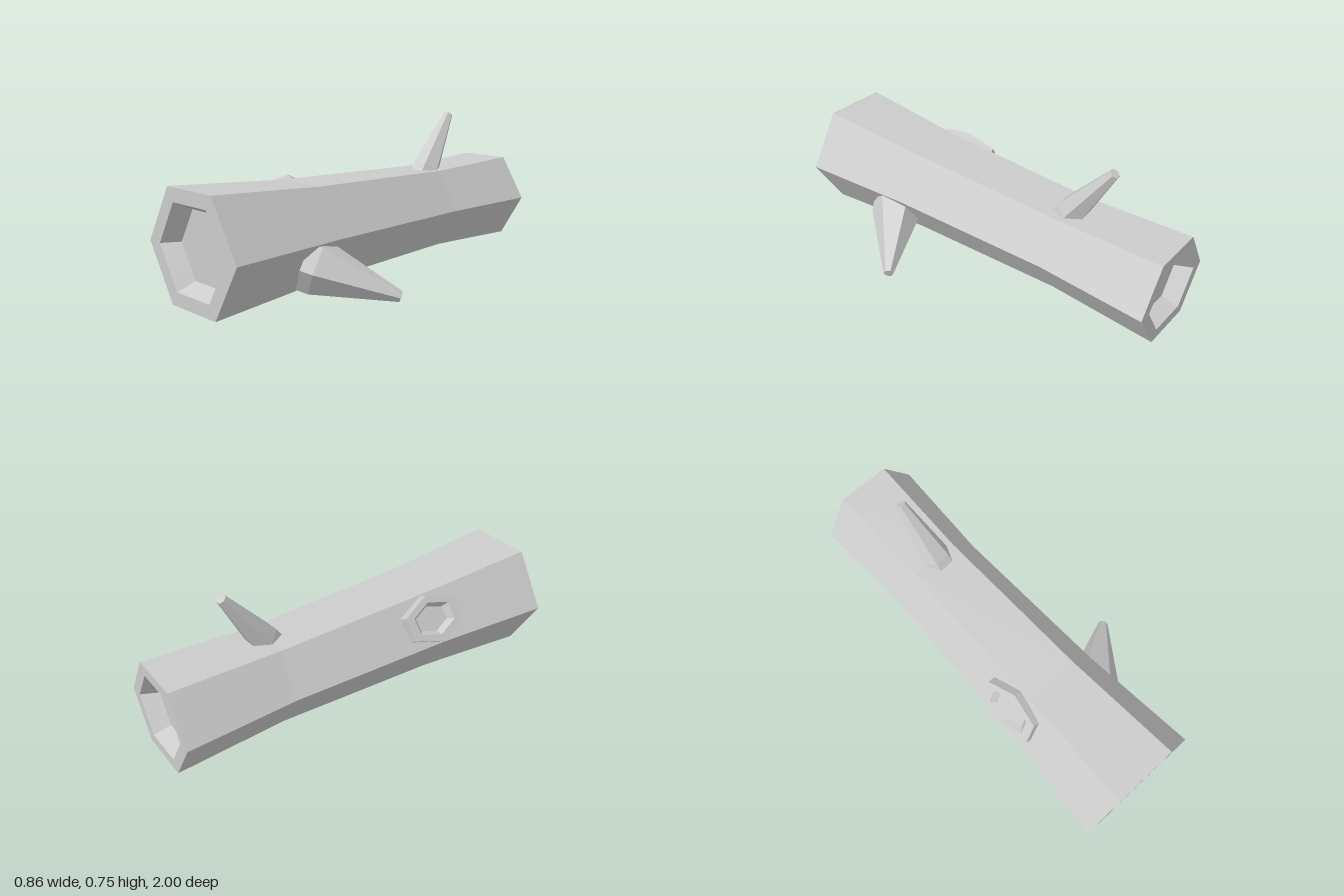
import * as THREE from 'three';

const material = new THREE.MeshStandardMaterial({ color: 0xcccccc, flatShading: true });

// Six-sided solid of revolution about y, with corners on the x axis; profile runs bottom to top
function hexLathe(profile) {
  const points = profile.map(([r, y]) => new THREE.Vector2(r, y));
  return new THREE.LatheGeometry(points, 6, Math.PI / 2, Math.PI * 2).toNonIndexed();
}

function addMesh(group, name, geometry) {
  geometry.computeVertexNormals();
  const mesh = new THREE.Mesh(geometry, material);
  mesh.name = name;
  group.add(mesh);
  return mesh;
}

// Tapered hexagonal stub from a point on the bark to its tip, sunk a little into the log
function addBranch(group, name, base, tip, baseRadius, tipRadius, sink) {
  const start = new THREE.Vector3(...base);
  const axis = new THREE.Vector3(...tip).sub(start);
  const length = axis.length();
  axis.normalize();
  const mesh = addMesh(group, name, hexLathe([
    [0, -sink], [baseRadius, -sink], [baseRadius, 0], [tipRadius, length], [0, length],
  ]));
  // Keep one pair of corners level
  const side = new THREE.Vector3(-axis.z, 0, axis.x).normalize();
  const third = new THREE.Vector3().crossVectors(side, axis);
  mesh.quaternion.setFromRotationMatrix(new THREE.Matrix4().makeBasis(side, axis, third));
  mesh.position.copy(start);
}

export function createModel() {
  const group = new THREE.Group();
  group.name = 'log';

  // Trunk with a waist and a recessed floor in each end
  const trunk = hexLathe([
    [0, -0.92], [0.163, -0.92], [0.202, -1], [0.267, -1],
    [0.243, -0.45], [0.273, 0.4],
    [0.324, 1], [0.244, 1], [0.197, 0.92], [0, 0.92],
  ]);
  trunk.rotateX(Math.PI / 2).scale(1, 0.94, 1);
  addMesh(group, 'trunk', trunk).position.set(-0.11, 0.265, 0);

  // Broken branches
  addBranch(group, 'upperBranch', [-0.092, 0.465, -0.46], [-0.105, 0.742, -0.657], 0.075, 0.025, 0.07);
  addBranch(group, 'lowerBranch', [0.115, 0.145, 0.49], [0.412, 0.025, 0.27], 0.13, 0.025, 0.06);

  // Hollow knot on the upper right face
  const knot = hexLathe([
    [0, -0.03], [0.124, -0.03], [0.12, 0.04], [0.086, 0.04], [0.066, 0.012], [0, 0.012],
  ]);
  knot.rotateY(0.1).scale(1, 1, 1.46);
  const mesh = addMesh(group, 'knot', knot);
  mesh.position.set(-0.313, 0.377, 0.35);
  mesh.rotation.z = Math.atan2(0.863, 0.506);

  return group;
}
